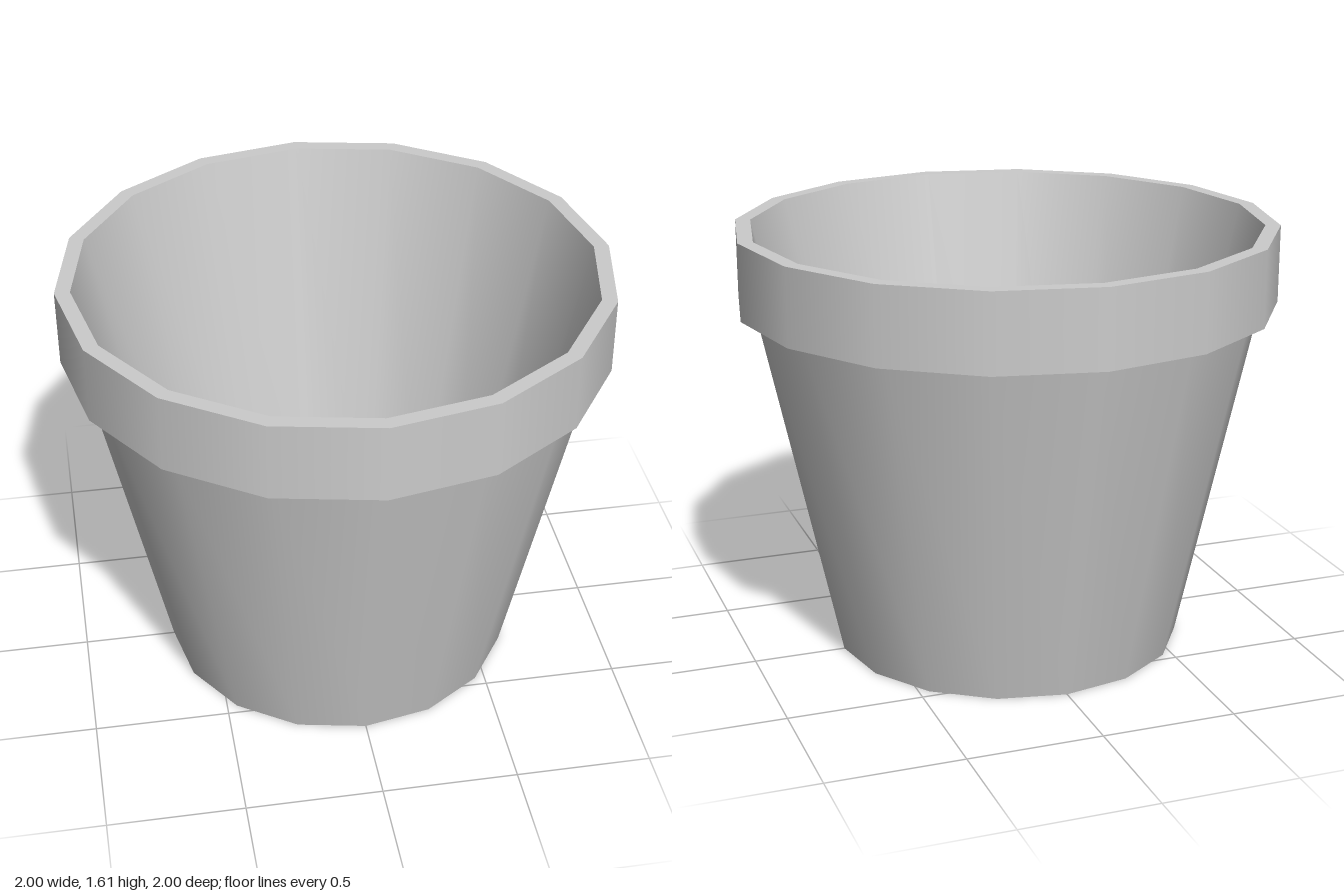
import * as THREE from 'three';

const SIDES = 16;
const HEIGHT = 1.605;
const RIM_BASE = 1.32;
const FLOOR = 0.04;

export function createModel() {
  const pot = new THREE.Group();
  pot.name = 'flowerPot';
  const material = new THREE.MeshStandardMaterial({ color: 0xcccccc });

  // Each band is its own lathe: smooth around the pot, sharp where bands meet.
  const addBand = (name, from, to) => {
    const profile = [new THREE.Vector2(...from), new THREE.Vector2(...to)];
    const band = new THREE.Mesh(new THREE.LatheGeometry(profile, SIDES), material);
    band.name = name;
    pot.add(band);
  };

  // Closed profile as [radius, height], from under the base, over the rim, to the inner floor
  addBand('base', [0, 0], [0.655, 0]);
  addBand('outerWall', [0.655, 0], [0.94, RIM_BASE]);
  addBand('rimUnderside', [0.94, RIM_BASE], [1, RIM_BASE]);
  addBand('rimOuter', [1, RIM_BASE], [1, HEIGHT]);
  addBand('rimTop', [1, HEIGHT], [0.944, HEIGHT]);
  addBand('innerWall', [0.944, HEIGHT], [0.59, FLOOR]);
  addBand('innerFloor', [0.59, FLOOR], [0, FLOOR]);

  return pot;
}
